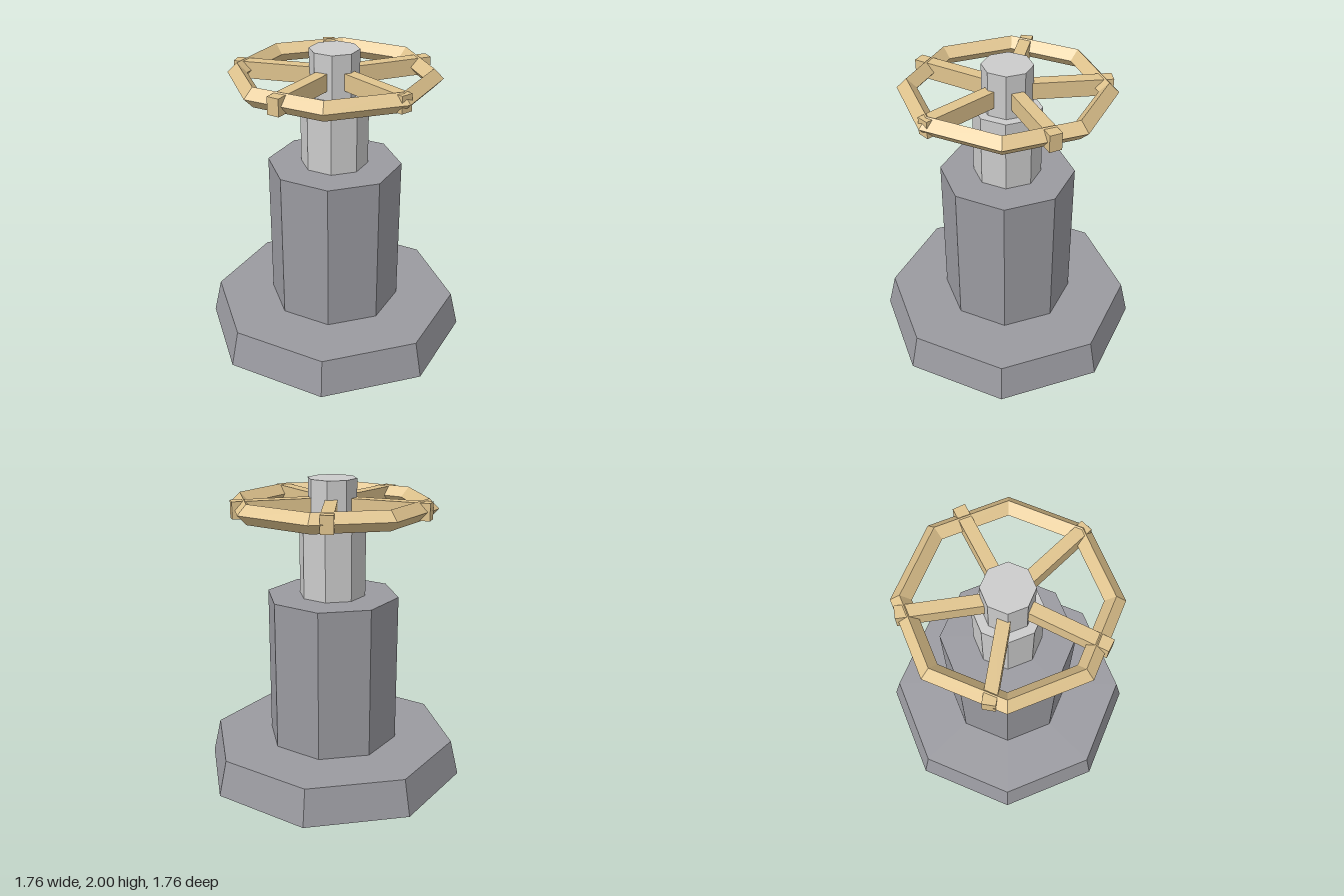
import * as THREE from 'three';

const paint = (color) => new THREE.MeshStandardMaterial({ color, flatShading: true });

export function createModel() {
  const group = new THREE.Group();
  const iron = paint(0x9a9aa0);
  const steel = paint(0xc2c2c6);
  const brass = paint(0xe0c48e);

  // Stacked octagonal sections, each with a corner on the z axis
  const section = (name, bottomRadius, topRadius, y0, y1, material) => {
    const mesh = new THREE.Mesh(new THREE.CylinderGeometry(topRadius, bottomRadius, y1 - y0, 8), material);
    mesh.name = name;
    mesh.position.y = (y0 + y1) / 2;
    group.add(mesh);
  };
  section('base', 0.88, 0.825, 0, 0.237, iron);
  section('body', 0.44, 0.44, 0.237, 1.237, iron);
  section('neck', 0.22, 0.22, 1.237, 1.71, steel);
  section('stem', 0.16, 0.16, 1.71, 2, steel);

  // Handwheel: octagonal rim of diamond section with five spokes
  const wheel = new THREE.Group();
  wheel.name = 'handwheel';
  wheel.position.y = 1.826;
  group.add(wheel);

  const rim = new THREE.Mesh(new THREE.TorusGeometry(0.616, 0.063, 4, 8).rotateX(Math.PI / 2), brass);
  rim.name = 'rim';
  wheel.add(rim);

  // Spokes run from inside the stem out through the rim
  const inner = 0.12, outer = 0.65;
  const spokeGeometry = new THREE.BoxGeometry(outer - inner, 0.11, 0.08).translate((inner + outer) / 2, 0, 0);
  for (let i = 0; i < 5; i++) {
    const spoke = new THREE.Mesh(spokeGeometry, brass);
    spoke.name = 'spoke';
    spoke.rotation.y = (i * Math.PI * 2) / 5;
    wheel.add(spoke);
  }
  return group;
}
